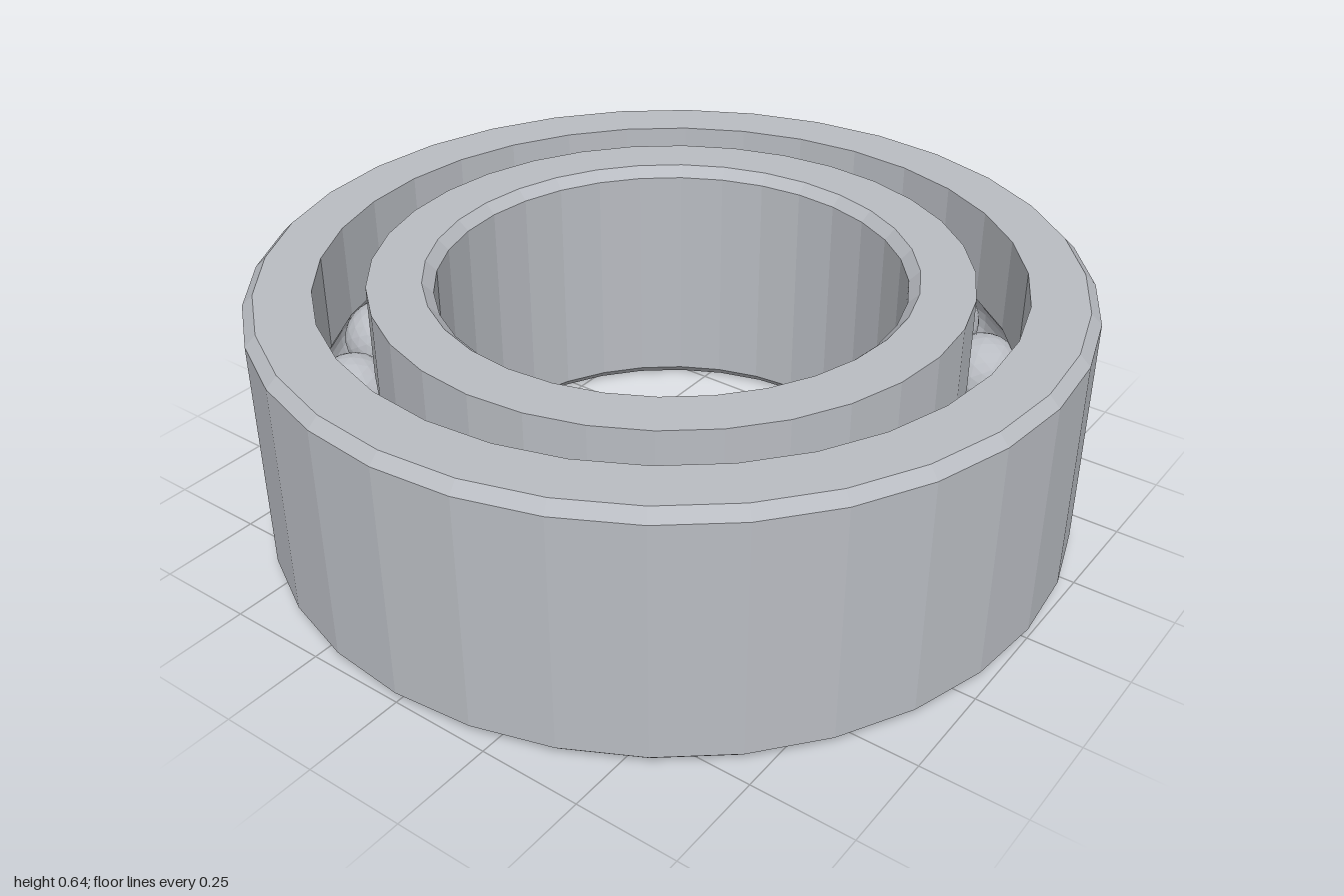
import * as THREE from 'three';

const HEIGHT = 0.64, MID = HEIGHT / 2, CHAMFER = 0.026;
const PITCH = 0.777, BALL_R = 0.097, GROOVE_R = 0.1;
const SIDES = 32, BALLS = 18;

// Give every facet its own flat normal
function facet(geometry) {
  const flat = geometry.index ? geometry.toNonIndexed() : geometry;
  flat.computeVertexNormals();
  return flat;
}

// Raceway arc cut into a wall at radius r; dir +1 runs upward, -1 downward
function raceway(r, dir) {
  const side = Math.sign(r - PITCH);
  const half = Math.acos(Math.abs(r - PITCH) / GROOVE_R);
  const points = [];
  for (let i = 0; i <= 8; i++) {
    const a = dir * half * (i / 4 - 1);
    points.push([PITCH + side * GROOVE_R * Math.cos(a), MID + GROOVE_R * Math.sin(a)]);
  }
  return points;
}

// Closed counter-clockwise profile turned around the y axis
function ring(name, profile, material) {
  const points = [...profile, profile[0]].map(([r, y]) => new THREE.Vector2(r, y));
  const mesh = new THREE.Mesh(facet(new THREE.LatheGeometry(points, SIDES)), material);
  mesh.name = name;
  return mesh;
}

export function createModel() {
  const group = new THREE.Group();
  group.name = 'ballBearing';
  const steel = new THREE.MeshStandardMaterial({ color: 0xb9bcc2 });
  steel.name = 'steel';

  // Outer ring: chamfered rim outside, raceway inside
  const wall = 0.84;
  group.add(ring('outerRing', [
    [wall, 0], [1 - CHAMFER, 0], [1, CHAMFER],
    [1, HEIGHT - CHAMFER], [1 - CHAMFER, HEIGHT], [wall, HEIGHT],
    ...raceway(wall, -1),
  ], steel));

  // Inner ring: raceway outside, chamfered bore inside
  const hub = 0.717, bore = 0.562;
  group.add(ring('innerRing', [
    [bore + CHAMFER, 0], [hub, 0],
    ...raceway(hub, 1),
    [hub, HEIGHT], [bore + CHAMFER, HEIGHT],
    [bore, HEIGHT - CHAMFER], [bore, CHAMFER],
  ], steel));

  // Balls spaced evenly between the rings
  const balls = new THREE.Group();
  balls.name = 'balls';
  const ballGeometry = facet(new THREE.IcosahedronGeometry(BALL_R, 3));
  for (let i = 0; i < BALLS; i++) {
    const a = (i / BALLS) * Math.PI * 2;
    const ball = new THREE.Mesh(ballGeometry, steel);
    ball.name = 'ball';
    ball.position.set(PITCH * Math.cos(a), MID, PITCH * Math.sin(a));
    ball.rotation.y = -a;
    balls.add(ball);
  }
  group.add(balls);
  return group;
}
